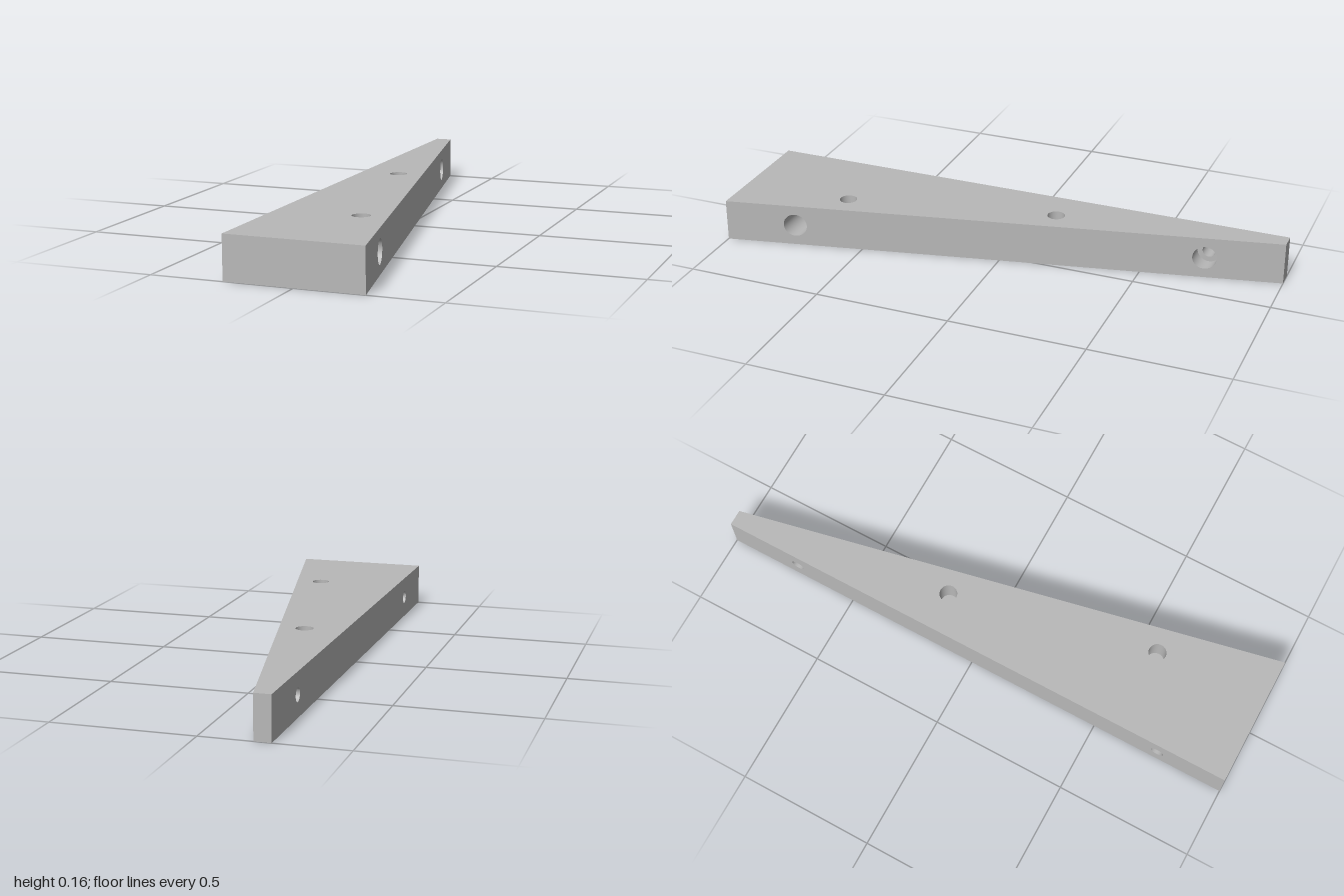
import * as THREE from 'three';

const H = 0.155, LEFT = -0.243, TIP = -0.184, WIDE = 0.243;
const slant = z => (TIP + WIDE) / 2 + (WIDE - TIP) / 2 * z; // x of the sloping side
const SEAT = -0.185; // x of the screw head seats
const HEAD = 0.043, SHANK = 0.024, PEG = 0.032, PEG_DEPTH = 0.1, SEG = 40;
const screws = [0.745, -0.725].map(z => ({ z, y: H / 2 }));
const pegs = [{ x: -0.1, z: -0.172 }, { x: 0.06, z: 0.587 }];

// Flat polygon with round holes [x, y, radius]
function plate(points, holes = []) {
  const shape = new THREE.Shape(points.map(p => new THREE.Vector2(...p)));
  for (const [x, y, r] of holes) shape.holes.push(new THREE.Path().absarc(x, y, r, 0, Math.PI * 2, true));
  return new THREE.ShapeGeometry(shape, SEG / 2);
}

// Open bore along x; each end's x may depend on z
function bore(r, z, y, startX, endX) {
  const g = new THREE.CylinderGeometry(r, r, 2, SEG, 1, true);
  g.rotateZ(-Math.PI / 2).translate(0, y, z);
  const p = g.attributes.position;
  for (let i = 0; i < p.count; i++) p.setX(i, p.getX(i) > 0 ? endX(p.getZ(i)) : startX);
  return g;
}

export function createModel() {
  const group = new THREE.Group();
  const grey = new THREE.MeshStandardMaterial({ color: 0xb8b8b8, side: THREE.DoubleSide });
  grey.name = 'grey';
  const add = (name, geometry) => {
    const mesh = new THREE.Mesh(geometry, grey);
    mesh.name = name;
    group.add(mesh);
  };

  // Wedge faces
  add('topFace', plate([[LEFT, -1], [WIDE, -1], [TIP, 1], [LEFT, 1]],
    pegs.map(p => [p.x, -p.z, PEG])).rotateX(-Math.PI / 2).translate(0, H, 0));
  add('bottomFace', plate([[LEFT, -1], [TIP, -1], [WIDE, 1], [LEFT, 1]]).rotateX(Math.PI / 2));
  add('frontFace', plate([[LEFT, 0], [WIDE, 0], [WIDE, H], [LEFT, H]]).translate(0, 0, 1));
  add('backFace', plate([[-TIP, 0], [-LEFT, 0], [-LEFT, H], [-TIP, H]]).rotateY(Math.PI).translate(0, 0, -1));

  const side = [[-1, 0], [1, 0], [1, H], [-1, H]];
  add('straightSide', plate(side, screws.map(s => [s.z, s.y, SHANK]))
    .rotateY(-Math.PI / 2).translate(LEFT, 0, 0));
  const sloping = plate(side, screws.map(s => [-s.z, s.y, HEAD])).rotateY(Math.PI / 2);
  const p = sloping.attributes.position;
  for (let i = 0; i < p.count; i++) p.setX(i, slant(p.getZ(i)));
  sloping.computeVertexNormals();
  add('slopingSide', sloping);

  // Counterbored screw holes running across the wedge
  for (const { z, y } of screws) {
    add('screwHeadBore', bore(HEAD, z, y, SEAT, slant));
    add('screwSeat', new THREE.RingGeometry(SHANK, HEAD, SEG).rotateY(Math.PI / 2).translate(SEAT, y, z));
    add('screwShankBore', bore(SHANK, z, y, LEFT, () => SEAT));
  }

  // Blind peg holes in the top
  for (const { x, z } of pegs) {
    add('pegHoleWall', new THREE.CylinderGeometry(PEG, PEG, PEG_DEPTH, SEG, 1, true)
      .translate(x, H - PEG_DEPTH / 2, z));
    add('pegHoleFloor', new THREE.CircleGeometry(PEG, SEG).rotateX(-Math.PI / 2)
      .translate(x, H - PEG_DEPTH, z));
  }
  return group;
}
